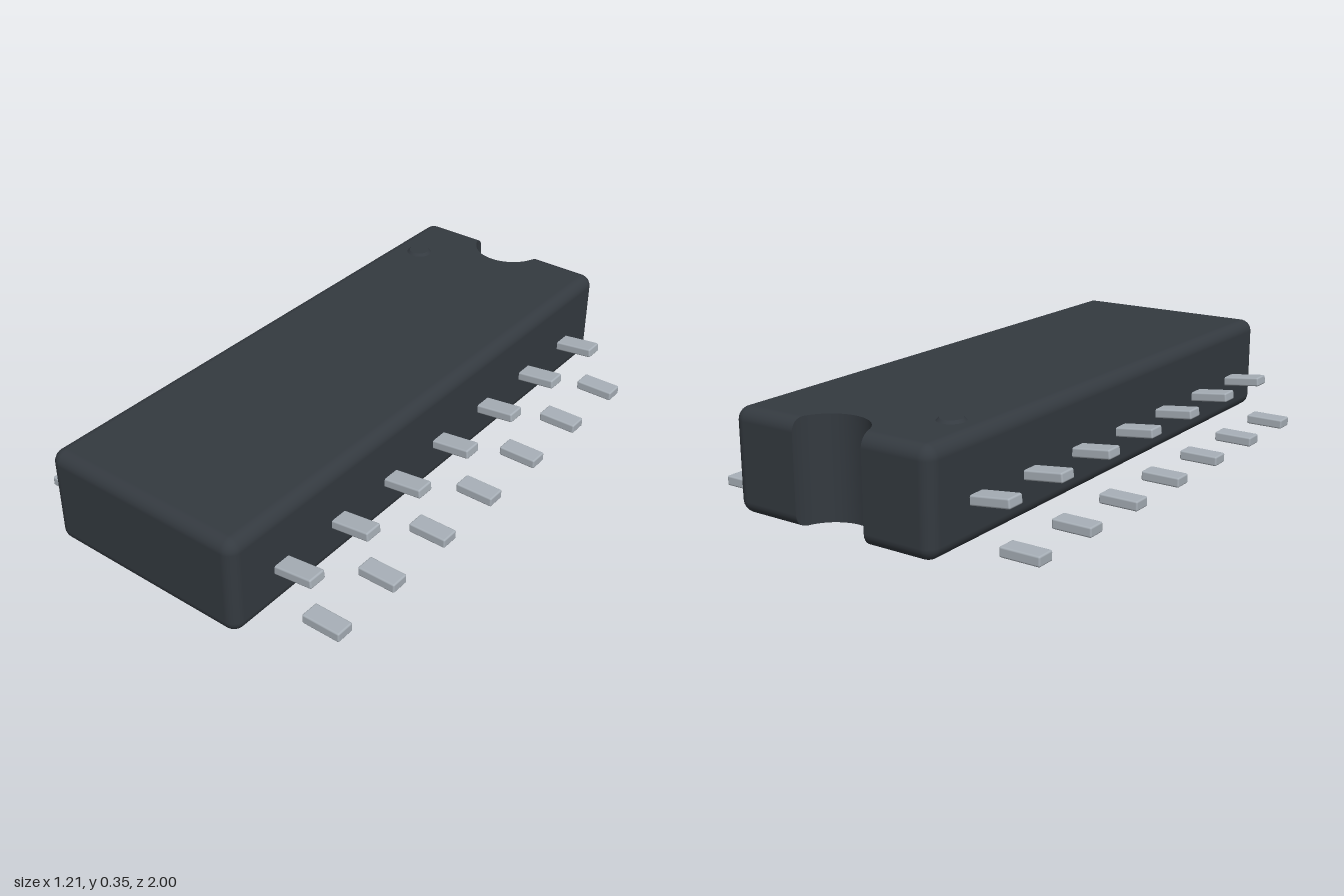
import * as THREE from 'three';
import { RoundedBoxGeometry } from 'three/addons/geometries/RoundedBoxGeometry.js';

const HALF_W = 0.37, HALF_L = 1, Y0 = 0.01, Y1 = 0.344;
const ROUND = 0.042, NOTCH = 0.13, STEPS = 6;

// Horizontal outline of the body, inset by d, with the round notch at the back.
function outline(d) {
  const pts = [];
  const add = (x, z, nx, nz, notch = false) => pts.push({ x, z, nx, nz, notch });
  const t0 = Math.asin(d / NOTCH), edge = NOTCH * Math.cos(t0), back = -HALF_L + d;
  add(edge, back, 0, -1);
  [[1, -1], [1, 1], [-1, 1], [-1, -1]].forEach(([sx, sz], k) => {
    for (let i = 0; i <= STEPS; i++) {
      const a = (k - 1 + i / STEPS) * Math.PI / 2, c = Math.cos(a), s = Math.sin(a);
      add(sx * (HALF_W - ROUND) + (ROUND - d) * c, sz * (HALF_L - ROUND) + (ROUND - d) * s, c, s);
    }
  });
  add(-edge, back, 0, -1);
  for (let i = 0; i <= 32; i++) {
    const a = Math.PI - t0 - (i / 32) * (Math.PI - 2 * t0), c = Math.cos(a), s = Math.sin(a);
    add(NOTCH * c, -HALF_L + NOTCH * s, -c, -s, true);
  }
  return pts;
}

// Side wall: outlines stacked along a rounded profile.
function wallGeometry() {
  const pos = [], nor = [], idx = [];
  const levels = [];
  for (let i = 0; i <= STEPS; i++) levels.push([Y0 + ROUND, -Math.PI / 2 * (1 - i / STEPS)]);
  for (let i = 0; i <= STEPS; i++) levels.push([Y1 - ROUND, Math.PI / 2 * i / STEPS]);
  let n = 0;
  levels.forEach(([cy, a], l) => {
    const ring = outline(ROUND * (1 - Math.cos(a)));
    n = ring.length;
    ring.forEach((p, i) => {
      const h = p.notch ? 1 : Math.cos(a);
      pos.push(p.x, cy + ROUND * Math.sin(a), p.z);
      nor.push(p.nx * h, p.notch ? 0 : Math.sin(a), p.nz * h);
      if (l === levels.length - 1 || i === n - 1) return;
      const q = l * n + i;
      idx.push(q, q + n, q + 1, q + 1, q + n, q + n + 1);
    });
  });
  const g = new THREE.BufferGeometry();
  g.setAttribute('position', new THREE.Float32BufferAttribute(pos, 3));
  g.setAttribute('normal', new THREE.Float32BufferAttribute(nor, 3));
  g.setIndex(idx);
  return g;
}

// Flat top (dir 1) or bottom (dir -1) of the body.
function capGeometry(dir, y) {
  const pts = [];
  for (const p of outline(ROUND)) {
    const v = new THREE.Vector2(p.x, -dir * p.z);
    if (!pts.length || pts[pts.length - 1].distanceTo(v) > 1e-5) pts.push(v);
  }
  if (pts[0].distanceTo(pts[pts.length - 1]) < 1e-5) pts.pop();
  return new THREE.ShapeGeometry(new THREE.Shape(pts)).rotateX(-dir * Math.PI / 2).translate(0, y, 0);
}

export function createModel() {
  const plastic = new THREE.MeshStandardMaterial({ color: 0x343a40 });
  plastic.name = 'dark plastic';
  const metal = new THREE.MeshStandardMaterial({ color: 0xa8b0b8 });
  metal.name = 'pin metal';

  const model = new THREE.Group();
  model.name = 'chip';
  const add = (parent, name, geometry, material) => {
    const mesh = new THREE.Mesh(geometry, material);
    mesh.name = name;
    parent.add(mesh);
    return mesh;
  };

  // Package body
  const body = new THREE.Group();
  body.name = 'body';
  model.add(body);
  add(body, 'bodyWall', wallGeometry(), plastic);
  add(body, 'bodyTop', capGeometry(1, Y1), plastic);
  add(body, 'bodyBottom', capGeometry(-1, Y0), plastic);

  // First-pin marker
  add(model, 'pinMarker', new THREE.CylinderGeometry(0.036, 0.045, 0.009, 32), plastic)
    .position.set(-0.252, Y1 + 0.0045, -0.75);

  // Seven pins a side: a tilted shoulder and a flat foot
  const shoulder = new RoundedBoxGeometry(0.15, 0.032, 0.066, 2, 0.006);
  const foot = new RoundedBoxGeometry(0.137, 0.033, 0.066, 2, 0.006);
  for (const side of [1, -1]) {
    for (let i = -3; i <= 3; i++) {
      const pin = new THREE.Group();
      pin.name = side > 0 ? 'leftPin' : 'rightPin';
      pin.position.z = i * 0.264;
      model.add(pin);
      const s = add(pin, 'pinShoulder', shoulder, metal);
      s.position.set(side * 0.43, 0.155, 0);
      s.rotation.z = side * 0.12;
      add(pin, 'pinFoot', foot, metal).position.set(side * 0.536, 0.0175, 0);
    }
  }
  return model;
}
